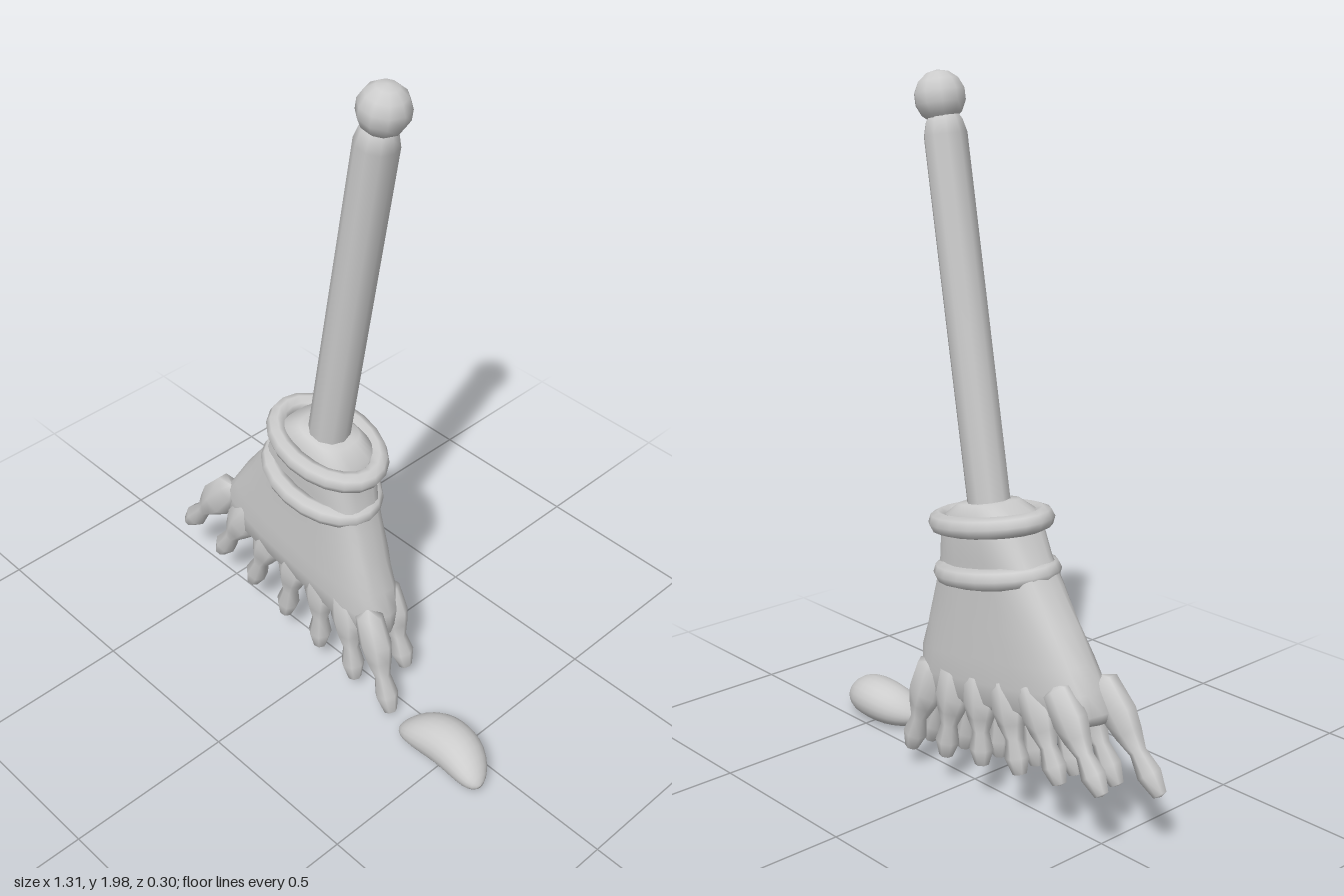
import * as THREE from 'three';

// Closed skin through oval rings listed from top to bottom: [y, halfWidth, halfDepth]
function loft(sections, sides, power = 1, bump = () => 0) {
  const pos = [], idx = [];
  const bend = (c) => Math.sign(c) * Math.pow(Math.abs(c), power);
  sections.forEach(([y, w, d]) => {
    for (let j = 0; j < sides; j++) {
      const a = (j / sides) * Math.PI * 2;
      const k = 1 + bump(a, y);
      pos.push(w * k * bend(Math.cos(a)), y, d * k * bend(Math.sin(a)));
    }
  });
  for (let i = 0; i < sections.length - 1; i++) {
    for (let j = 0; j < sides; j++) {
      const a = i * sides + j, b = i * sides + (j + 1) % sides;
      idx.push(a, b, a + sides, b, b + sides, a + sides);
    }
  }
  const g = new THREE.BufferGeometry();
  g.setAttribute('position', new THREE.Float32BufferAttribute(pos, 3));
  g.setIndex(idx);
  g.computeVertexNormals();
  return g;
}

export function createModel() {
  const model = new THREE.Group();
  const clay = new THREE.MeshStandardMaterial({ color: 0xcccccc });
  clay.name = 'light grey';

  const add = (parent, geometry, name) => {
    const mesh = new THREE.Mesh(geometry, clay);
    mesh.name = name;
    parent.add(mesh);
    return mesh;
  };

  // The whole broom leans about the collar
  const broom = new THREE.Group();
  broom.name = 'broom';
  broom.position.set(-0.065, 0.82, 0);
  broom.rotation.z = -0.175;
  model.add(broom);

  // Handle with a rounded shoulder, and its end knob
  add(broom, loft([
    [1.09, 0.001, 0.001], [1.085, 0.038, 0.038], [1.065, 0.05, 0.05],
    [1.03, 0.059, 0.059], [0.0, 0.06, 0.06], [-0.05, 0.06, 0.06],
  ], 10), 'handle');
  add(broom, new THREE.SphereGeometry(0.07, 10, 7), 'knob').position.set(0.005, 1.128, 0);

  // Flattened bristle head, flaring downward with slight lumps
  add(broom, loft([
    [0.055, 0.001, 0.001], [0.05, 0.08, 0.07], [0.02, 0.13, 0.095], [-0.04, 0.155, 0.1],
    [-0.1, 0.175, 0.095], [-0.18, 0.215, 0.093], [-0.28, 0.262, 0.094], [-0.37, 0.308, 0.095],
    [-0.44, 0.335, 0.096], [-0.5, 0.352, 0.088], [-0.53, 0.33, 0.06], [-0.53, 0.001, 0.001],
  ], 32, 0.65, (a, y) => (y < -0.08 ? 0.025 * Math.sin(a * 7 + y * 24) * Math.min(1, -y * 2) : 0)),
  'bristleHead');

  // Collar and binding cord
  const ring = (name, y, rx, rz) => {
    const g = new THREE.TorusGeometry(1, 0.03, 8, 20).rotateX(Math.PI / 2);
    const p = g.attributes.position;
    for (let i = 0; i < p.count; i++) {
      const x = p.getX(i), z = p.getZ(i), r = Math.hypot(x, z);
      const off = r - 1;
      p.setX(i, (x / r) * (rx + off));
      p.setZ(i, (z / r) * (rz + off));
    }
    const n = g.attributes.normal;
    for (let i = 0; i < n.count; i++) {
      const v = new THREE.Vector3(n.getX(i) / rx, n.getY(i) / 0.15, n.getZ(i) / rz).normalize();
      n.setXYZ(i, v.x, v.y, v.z);
    }
    add(broom, g, name).position.y = y;
  };
  ring('collarRing', 0, 0.17, 0.118);
  ring('bindingCord', -0.14, 0.175, 0.118);

  // Fanned tufts with pinched necks: seven in front, six behind
  const tuft = loft([
    [0.02, 0.001, 0.001], [0, 0.05, 0.035], [-0.09, 0.058, 0.04], [-0.14, 0.042, 0.036],
    [-0.19, 0.024, 0.024], [-0.25, 0.036, 0.034], [-0.305, 0.02, 0.02], [-0.31, 0.001, 0.001],
  ], 7);
  const tuftRow = (name, count, z, tipY) => {
    for (let i = 0; i < count; i++) {
      const tipX = (i - (count - 1) / 2) * 0.155;
      const rootX = tipX * 0.66, rootY = -0.43;
      const dx = tipX - rootX, dy = tipY - rootY;
      const m = add(broom, tuft, name);
      m.position.set(rootX, rootY, z * 0.9);
      m.rotation.z = Math.atan2(dx, -dy);
      m.rotation.x = -Math.sign(z) * 0.03;
      m.scale.y = Math.hypot(dx, dy) / 0.31;
    }
  };
  tuftRow('frontTuft', 7, 0.06, -0.72);
  tuftRow('backTuft', 6, -0.07, -0.69);

  // Curved pebble lying beside the broom
  const pebble = new THREE.SphereGeometry(1, 20, 16).rotateZ(Math.PI / 2);
  const p = pebble.attributes.position;
  for (let i = 0; i < p.count; i++) {
    const s = p.getX(i), hump = 1 - s * s, full = Math.sqrt(1 + s * s);
    p.setXYZ(i,
      0.5 + 0.155 * s,
      0.06 + 0.025 * hump + p.getY(i) * full * (0.04 + 0.025 * hump),
      0.095 - 0.035 * hump + p.getZ(i) * full * (0.055 + 0.018 * hump));
  }
  pebble.computeVertexNormals();
  add(model, pebble, 'pebble');

  return model;
}
